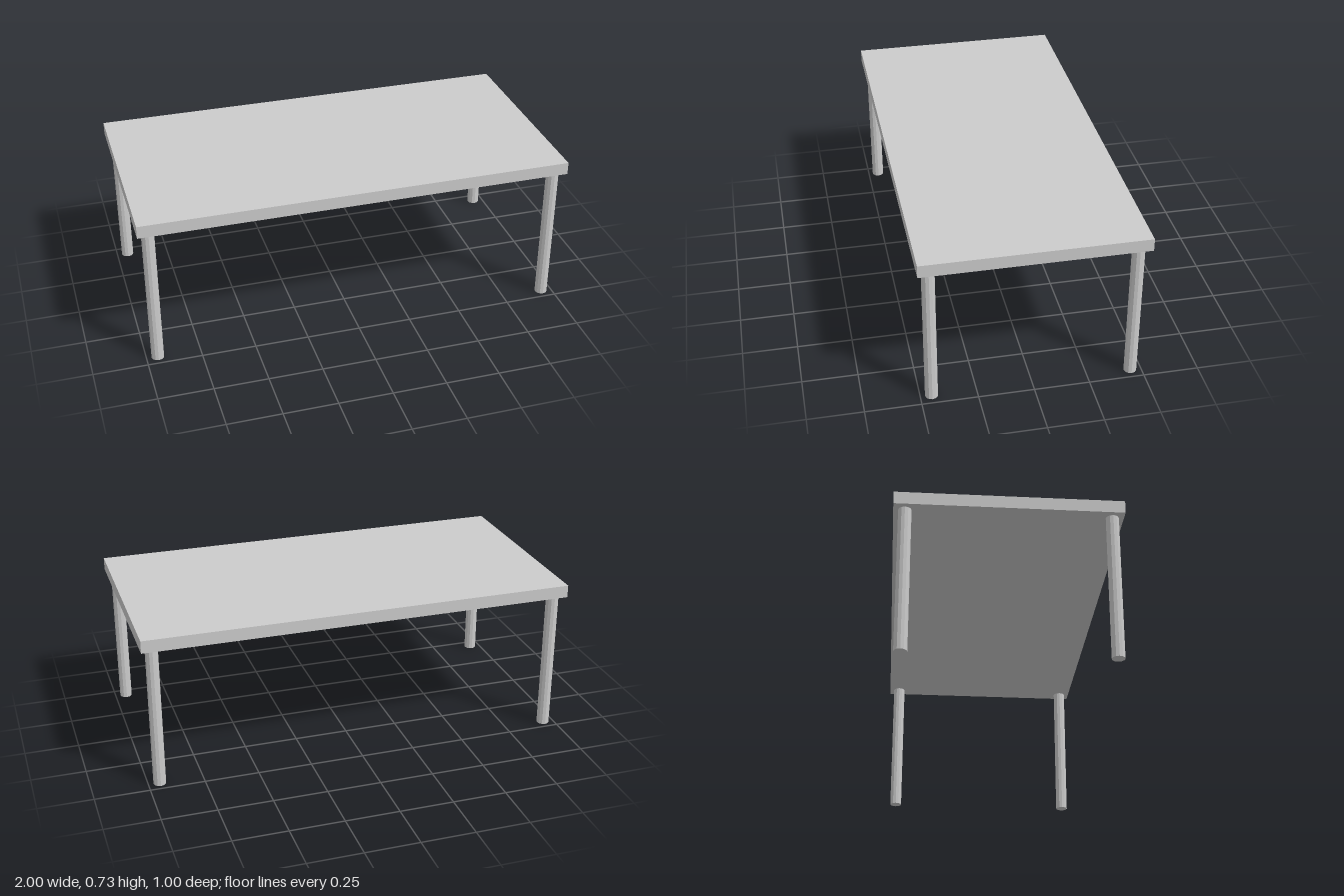
import * as THREE from 'three';

export function createModel() {
  const material = new THREE.MeshStandardMaterial({ color: 0xcccccc, flatShading: true });
  const table = new THREE.Group();
  table.name = 'table';

  const legHeight = 0.675;
  const topThickness = 0.058;

  // Flat rectangular slab
  const top = new THREE.Mesh(new THREE.BoxGeometry(2, topThickness, 1), material);
  top.name = 'tableTop';
  top.position.y = legHeight + topThickness / 2;
  table.add(top);

  // Four round legs, one near each corner
  const legGeometry = new THREE.CylinderGeometry(0.029, 0.029, legHeight, 12);
  for (const [depth, z] of [['front', 0.45], ['back', -0.45]]) {
    for (const [side, x] of [['Left', 0.948], ['Right', -0.948]]) {
      const leg = new THREE.Mesh(legGeometry, material);
      leg.name = `${depth}${side}Leg`;
      leg.position.set(x, legHeight / 2, z);
      table.add(leg);
    }
  }

  return table;
}
